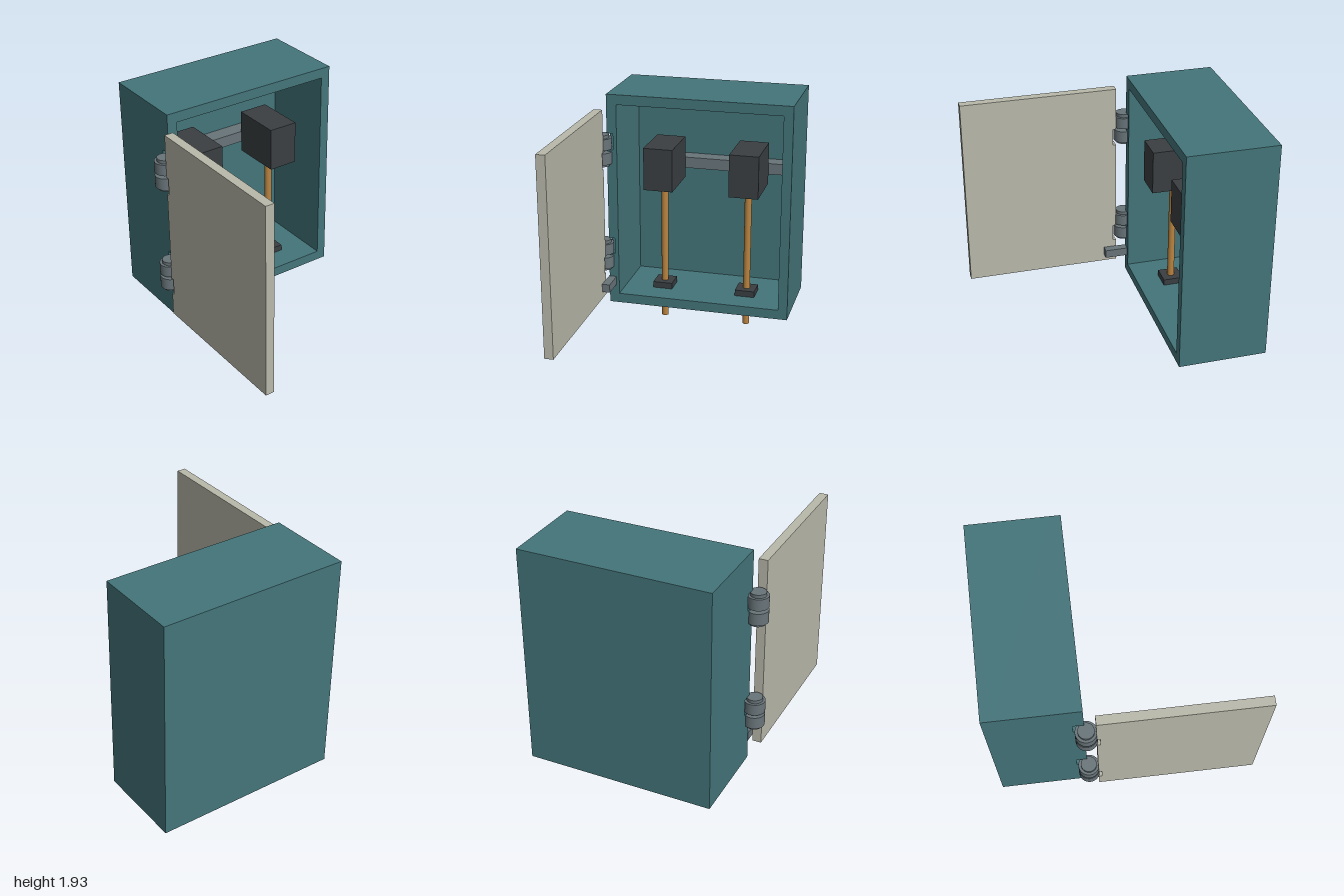
import * as THREE from 'three';

const mat = (color, flat = true) => new THREE.MeshStandardMaterial({ color, flatShading: flat });

export function createModel() {
  const root = new THREE.Group();
  root.name = 'openWallCabinet';
  const teal = mat(0x44757a), cream = mat(0xb9b9ab), dark = mat(0x3a3f42);
  const steel = mat(0x69757a), steelRound = mat(0x69757a, false), copper = mat(0xba8440, false);

  const add = (parent, name, geometry, material) => {
    const mesh = new THREE.Mesh(geometry, material);
    mesh.name = name;
    parent.add(mesh);
    return mesh;
  };
  // box from its limits on each axis
  const box = (parent, name, material, [x0, x1], [y0, y1], [z0, z1]) => {
    const mesh = add(parent, name, new THREE.BoxGeometry(x1 - x0, y1 - y0, z1 - z0), material);
    mesh.position.set((x0 + x1) / 2, (y0 + y1) / 2, (z0 + z1) / 2);
  };
  // upright cylinder from y0 to y1
  const post = (parent, name, material, r, x, z, y0, y1) => {
    const mesh = add(parent, name, new THREE.CylinderGeometry(r, r, y1 - y0, 32), material);
    mesh.position.set(x, (y0 + y1) / 2, z);
  };
  // rectangle whose low-u edge has notches [v0, v1] cut in to u = cut
  const notchedRect = (u0, u1, v0, v1, cut, notches) => {
    const pts = [[u0, v0], [u1, v0], [u1, v1], [u0, v1]];
    for (const [a, b] of [...notches].reverse()) pts.push([u0, b], [cut, b], [cut, a], [u0, a]);
    return new THREE.Shape(pts.map(([u, v]) => new THREE.Vector2(u, v)));
  };
  const extrude = (shape, depth) => new THREE.ExtrudeGeometry(shape, { depth, bevelEnabled: false });

  const hingeMids = [0.613, 1.488]; // height of the gap between the knuckles

  // Cabinet: back panel, four-sided wall, and front lip notched for the hinges
  const cabinet = new THREE.Group();
  cabinet.name = 'cabinet';
  root.add(cabinet);
  const wall = (name, notches, z0, z1) => {
    const shape = notchedRect(-0.68, 0.79, 0.19, 1.935, -0.63, notches);
    shape.holes.push(notchedRect(-0.6, 0.715, 0.268, 1.855, 0, []));
    add(cabinet, name, extrude(shape, z1 - z0), teal).position.z = z0;
  };
  box(cabinet, 'backPanel', teal, [-0.68, 0.79], [0.19, 1.935], [-1, -0.92]);
  wall('walls', [], -0.92, -0.39);
  wall('frontLip', hingeMids.map((y) => [y, y + 0.135]), -0.39, -0.31);

  // Door, swung open, with cut-outs for the lower knuckles
  const doorShape = notchedRect(-0.23, 1, 0.29, 1.83, -0.205, hingeMids.map((y) => [y - 0.138, y]));
  const door = add(root, 'door', extrude(doorShape, 0.07), cream);
  door.rotation.y = -Math.PI / 2;
  door.position.x = -0.685;

  // Hinges: two knuckles with narrower end caps on a pin
  for (const y of hingeMids) {
    const hinge = new THREE.Group();
    hinge.name = 'hinge';
    hinge.position.set(-0.72, y, -0.3);
    root.add(hinge);
    post(hinge, 'upperKnuckle', steelRound, 0.08, 0, 0, 0.012, 0.102);
    post(hinge, 'lowerKnuckle', steelRound, 0.08, 0, 0, -0.107, -0.012);
    post(hinge, 'upperCap', steelRound, 0.06, 0, 0, 0.1, 0.128);
    post(hinge, 'lowerCap', steelRound, 0.06, 0, 0, -0.127, -0.105);
    post(hinge, 'pin', steelRound, 0.025, 0, 0, -0.05, 0.05);
  }

  // Door stop on the cabinet front
  box(root, 'doorStop', steel, [-0.685, -0.622], [0.348, 0.415], [-0.32, -0.127]);

  // Mounting rail with two switch blocks, their conductors and floor bushings
  box(root, 'mountingRail', steel, [-0.52, 0.635], [1.235, 1.325], [-0.92, -0.79]);
  for (const x of [-0.287, 0.403]) {
    const unit = new THREE.Group();
    unit.name = 'switchUnit';
    unit.position.x = x;
    root.add(unit);
    box(unit, 'switchBlock', dark, [-0.118, 0.118], [1.155, 1.5], [-0.79, -0.38]);
    post(unit, 'conductor', copper, 0.028, 0, -0.585, 0, 1.2);
    box(unit, 'bushing', dark, [-0.08, 0.08], [0.143, 0.318], [-0.665, -0.505]);
  }
  return root;
}
